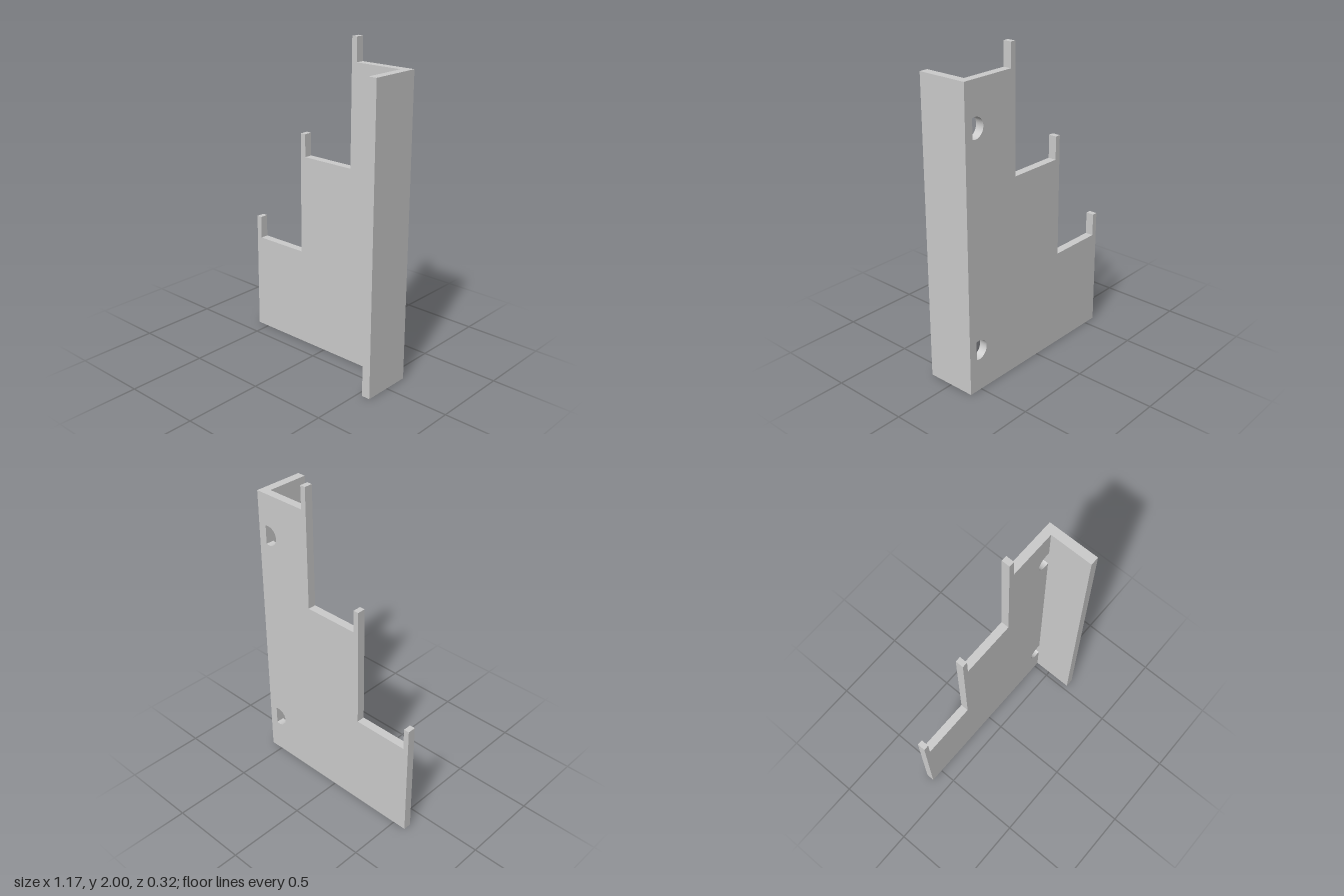
import * as THREE from 'three';

const HALF = 0.585;      // half of the overall width
const BACK = -0.16;      // rear face of the plate
const THICK = 0.052;     // sheet thickness
const RISE = 0.62;       // height of each step
const RUN = 0.39;        // width of each step
const PEG = { w: 0.035, h: 0.142 };
const INNER = HALF - 0.054; // inner face of the side flange

// D-shaped screw hole: a circle cut off flush with the flange
function screwHole(y) {
  const cx = 0.51, r = 0.062;
  const a = Math.acos((INNER - cx) / r);
  const hole = new THREE.Path();
  hole.absarc(cx, y, r, a, Math.PI * 2 - a, false);
  hole.closePath();
  return hole;
}

export function createModel() {
  const group = new THREE.Group();
  const material = new THREE.MeshStandardMaterial({ color: 0xcccccc });

  // Stepped plate, each step starting with an upright peg
  const outline = new THREE.Shape();
  outline.moveTo(HALF, 0);
  outline.lineTo(-HALF, 0);
  for (let i = 0; i < 3; i++) {
    const x = -HALF + i * RUN;
    const y = (i + 1) * RISE;
    outline.lineTo(x, y + PEG.h);
    outline.lineTo(x + PEG.w, y + PEG.h);
    outline.lineTo(x + PEG.w, y);
    outline.lineTo(x + RUN, y);
  }
  outline.closePath();
  outline.holes.push(screwHole(0.267), screwHole(1.598));

  const plate = new THREE.Mesh(
    new THREE.ExtrudeGeometry(outline, { depth: THICK, bevelEnabled: false, curveSegments: 24 }),
    material
  );
  plate.name = 'steppedPlate';
  plate.position.z = BACK;
  group.add(plate);

  // Side flange, folded forward at a right angle
  const depth = -2 * BACK - THICK;
  const flange = new THREE.Mesh(new THREE.BoxGeometry(HALF - INNER, 3 * RISE, depth), material);
  flange.name = 'sideFlange';
  flange.position.set((HALF + INNER) / 2, 1.5 * RISE, BACK + THICK + depth / 2);
  group.add(flange);

  return group;
}
